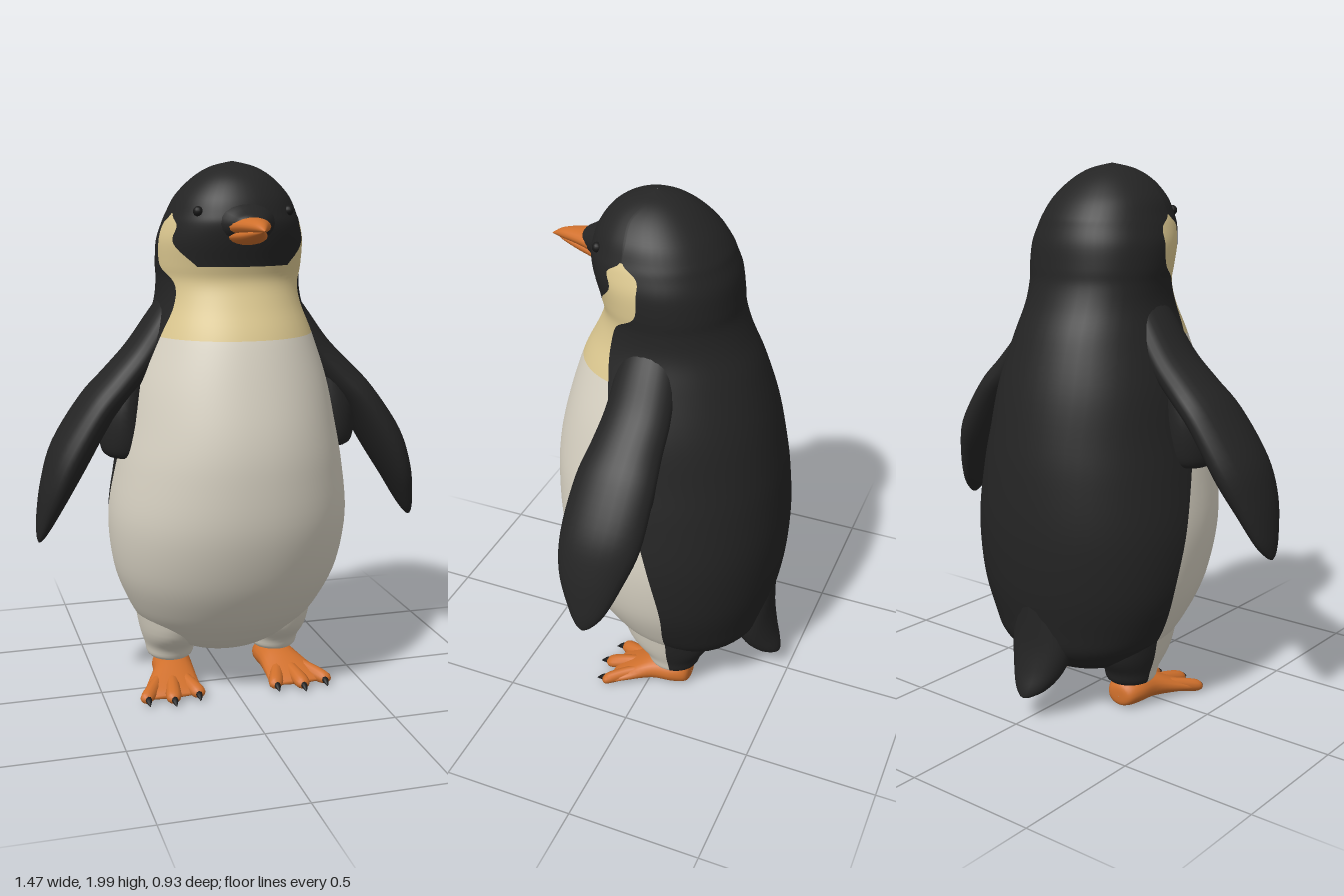
import * as THREE from 'three';

const mat = (name, color) => {
  const m = new THREE.MeshStandardMaterial({ color });
  m.name = name;
  return m;
};

// Catmull-Rom through table rows, every column at once
function smooth(rows, steps) {
  const out = [];
  const at = i => rows[Math.max(0, Math.min(rows.length - 1, i))];
  for (let i = 0; i < rows.length - 1; i++) {
    for (let k = 0; k < steps; k++) {
      const t = k / steps;
      out.push(rows[i].map((p1, c) => {
        const p0 = at(i - 1)[c], p2 = at(i + 1)[c], p3 = at(i + 2)[c];
        return p1 + 0.5 * t * (p2 - p0 + t * (2 * p0 - 5 * p1 + 4 * p2 - p3 + t * (3 * (p1 - p2) + p3 - p0)));
      }));
    }
  }
  out.push(rows[rows.length - 1]);
  return out;
}

// Skin over closed rings of points; pick(i, j) gives the material index of a quad
function skin(name, rings, materials, pick = () => 0, side = 1) {
  const n = rings[0].length;
  const pos = rings.flatMap(r => r.flatMap(p => [p[0] * side, p[1], p[2]]));
  const lists = materials.map(() => []);
  for (let i = 0; i < rings.length - 1; i++) {
    for (let j = 0; j < n; j++) {
      const k = (j + 1) % n;
      const a = i * n + j, b = i * n + k, c = (i + 1) * n + k, d = (i + 1) * n + j;
      lists[pick(i, j)].push(...(side > 0 ? [a, b, c, a, c, d] : [a, c, b, a, d, c]));
    }
  }
  const g = new THREE.BufferGeometry();
  g.setAttribute('position', new THREE.Float32BufferAttribute(pos, 3));
  g.setIndex(lists.flat());
  let start = 0;
  lists.forEach((l, m) => { g.addGroup(start, l.length, m); start += l.length; });
  g.computeVertexNormals();
  const mesh = new THREE.Mesh(g, materials.length > 1 ? materials : materials[0]);
  mesh.name = name;
  return mesh;
}

// Elliptical sweep: stations [x, y, z, radius along A, radius along B], travelling along A x B
function sweep(name, stations, A, B, material, side = 1, n = 20, steps = 5) {
  const rings = smooth(stations, steps).map(([x, y, z, ra, rb]) => Array.from({ length: n }, (_, j) => {
    const t = j / n * Math.PI * 2, a = ra * Math.cos(t), b = rb * Math.sin(t);
    return [x + A[0] * a + B[0] * b, y + A[1] * a + B[1] * b, z + A[2] * a + B[2] * b];
  }));
  return skin(name, rings, [material], undefined, side);
}

const X = [1, 0, 0], Y = [0, 1, 0], Z = [0, 0, 1];
const STEPS = 5, COUNTS = [10, 8, 26, 8, 10];
const SECTION = COUNTS.flatMap((c, s) => Array(c).fill([0, 1, 2, 1, 0][s]));

// Upright skin whose columns follow the colour borders
// rows: [y, half width, z front, z back, z of side border, z of cheek border]
function plumage(name, rows, cx, power, materials, colourOf, side = 1) {
  const table = rows.map(([y, rx, zf, zb, lo, hi]) => {
    const angle = z => {
      const u = Math.max(-0.95, Math.min(0.95, (z - (zf + zb) / 2) / ((zf - zb) / 2)));
      return Math.acos(Math.sign(u) * Math.abs(u) ** (power / 2));
    };
    const aLo = angle(lo);
    return [y, rx, zf, zb, aLo, hi === undefined ? aLo * 0.6 : Math.min(angle(hi), aLo - 0.02)];
  });
  const bend = v => Math.sign(v) * Math.abs(v) ** (2 / power);
  const rings = smooth(table, STEPS).map(([y, rx, zf, zb, lo, hi]) => {
    const edges = [0, hi, lo, 2 * Math.PI - lo, 2 * Math.PI - hi, 2 * Math.PI];
    return COUNTS.flatMap((c, s) => Array.from({ length: c }, (_, k) => {
      const a = edges[s] + (edges[s + 1] - edges[s]) * k / c;
      return [cx + rx * bend(Math.sin(a)), y, (zf + zb) / 2 + (zf - zb) / 2 * bend(Math.cos(a))];
    }));
  });
  return skin(name, rings, materials, (i, j) => colourOf(rows[Math.floor(i / STEPS)][0], SECTION[j]), side);
}

export function createModel() {
  const black = mat('black feathers', 0x242424);
  const white = mat('white feathers', 0xd8d2c3);
  const cream = mat('cream feathers', 0xdcc890);
  const orange = mat('orange skin', 0xd0702c);
  const claw = mat('dark claw', 0x191919);
  const model = new THREE.Group();
  model.name = 'penguin';

  // Body and head in one skin: white belly, cream collar and cheeks, black back and face
  const bodyRows = [
    [0.14, 0.001, -0.1, -0.102, -0.101],
    [0.15, 0.13, 0.03, -0.22, -0.1],
    [0.19, 0.24, 0.1, -0.31, -0.1],
    [0.26, 0.32, 0.18, -0.38, -0.1],
    [0.35, 0.375, 0.26, -0.405, -0.105],
    [0.5, 0.43, 0.35, -0.435, -0.115],
    [0.7, 0.45, 0.415, -0.45, -0.08],
    [0.9, 0.425, 0.43, -0.44, -0.02],
    [1.05, 0.395, 0.42, -0.42, 0.03],
    [1.22, 0.36, 0.38, -0.385, 0.1],
    [1.39, 0.305, 0.325, -0.33, 0.13],
    [1.5, 0.27, 0.27, -0.28, 0.14, 0.21],
    [1.58, 0.262, 0.238, -0.252, 0.12, 0.205],
    [1.64, 0.266, 0.247, -0.245, 0.04, 0.2],
    [1.72, 0.264, 0.272, -0.235, 0.03, 0.14],
    [1.78, 0.248, 0.285, -0.215, 0.035, 0.15],
    [1.82, 0.232, 0.28, -0.198, 0.09, 0.1],
    [1.88, 0.202, 0.258, -0.155, 0.09, 0.1],
    [1.94, 0.145, 0.212, -0.09, 0.09, 0.1],
    [1.98, 0.08, 0.145, -0.02, 0.06, 0.07],
    [2, 0.001, 0.062, 0.06, 0.061, 0.0612],
  ];
  model.add(plumage('body', bodyRows, 0, 2.12, [white, cream, black], (y, s) => {
    if (s === 2 || y >= 1.82) return 2;
    if (y < 1.39) return 0;
    return y < 1.64 || s === 1 ? 1 : 2;
  }));

  // Face tapering into the beak
  model.add(sweep('face', [
    [0, 1.79, 0.15, 0.16, 0.1], [0, 1.79, 0.24, 0.115, 0.08], [0, 1.788, 0.3, 0.072, 0.046],
    [0, 1.788, 0.33, 0.045, 0.028], [0, 1.788, 0.345, 0.001, 0.001]], X, Y, black));
  model.add(sweep('upperBeak', [
    [0, 1.778, 0.27, 0.085, 0.036], [0, 1.783, 0.34, 0.056, 0.029],
    [0, 1.781, 0.42, 0.025, 0.018], [0, 1.772, 0.465, 0.001, 0.001]], X, Y, orange));
  model.add(sweep('lowerBeak', [
    [0, 1.746, 0.27, 0.07, 0.03], [0, 1.753, 0.34, 0.045, 0.023],
    [0, 1.763, 0.41, 0.02, 0.012], [0, 1.768, 0.445, 0.001, 0.001]], X, Y, orange));

  // Short pointed tail
  model.add(sweep('tail', [
    [0, 0.45, -0.34, 0.1, 0.085], [0, 0.3, -0.34, 0.13, 0.085], [0, 0.2, -0.365, 0.11, 0.075],
    [0, 0.13, -0.405, 0.07, 0.055], [0, 0.1, -0.445, 0.025, 0.018], [0, 0.095, -0.45, 0.001, 0.001]], X, Z, black));

  for (const side of [1, -1]) {
    const prefix = side > 0 ? 'left' : 'right';

    const eye = new THREE.Mesh(new THREE.SphereGeometry(0.018, 14, 10), claw);
    eye.name = prefix + 'Eye';
    eye.position.set(side * 0.163, 1.83, 0.212);
    model.add(eye);

    // Flipper hanging out and down from the shoulder, with its armpit fold
    model.add(sweep(prefix + 'Flipper', [
      [0.19, 1.53, 0, 0.05, 0.09], [0.255, 1.42, 0, 0.062, 0.11], [0.33, 1.31, 0, 0.066, 0.12],
      [0.41, 1.22, 0.008, 0.07, 0.13], [0.5, 1.125, 0.015, 0.07, 0.146], [0.605, 0.96, 0.026, 0.075, 0.148],
      [0.665, 0.83, 0.04, 0.058, 0.118], [0.705, 0.715, 0.042, 0.033, 0.068],
      [0.722, 0.66, 0.048, 0.014, 0.028], [0.726, 0.643, 0.05, 0.001, 0.001]], [0.78, 0.62, 0], Z, black, side, 24));
    model.add(sweep(prefix + 'Armpit', [
      [0.37, 1.28, 0.01, 0.05, 0.09], [0.4, 1.12, 0.015, 0.085, 0.11],
      [0.4, 0.99, 0.02, 0.088, 0.1], [0.4, 0.945, 0.02, 0.06, 0.07], [0.4, 0.94, 0.02, 0.001, 0.001]], X, Z, black, side));

    // Leg, white in front and black behind
    model.add(plumage(prefix + 'Leg', [
      [0.095, 0.001, -0.08, -0.082, -0.081], [0.11, 0.08, 0, -0.175, -0.1], [0.16, 0.098, 0.03, -0.2, -0.1],
      [0.24, 0.122, 0.1, -0.24, -0.1], [0.4, 0.15, 0.14, -0.25, -0.105]], 0.212, 2,
    [white, black], (y, s) => (s === 2 ? 1 : 0), side));

    // Webbed foot with three clawed toes
    const foot = new THREE.Group();
    foot.name = prefix + 'Foot';
    foot.add(sweep('sole', [
      [0.205, 0.05, -0.158, 0.001, 0.001], [0.205, 0.055, -0.15, 0.05, 0.04], [0.207, 0.064, -0.1, 0.075, 0.056],
      [0.215, 0.062, -0.02, 0.08, 0.053], [0.235, 0.045, 0.06, 0.1, 0.036],
      [0.248, 0.03, 0.12, 0.112, 0.02], [0.25, 0.025, 0.14, 0.09, 0.008], [0.25, 0.025, 0.143, 0.001, 0.001]], X, Y, orange, side));
    for (const [x, z] of [[0.155, 0.165], [0.255, 0.19], [0.35, 0.165]]) {
      const back = 0.23 + (x - 0.25) * 0.3;
      foot.add(sweep('toe', [
        [back, 0.055, z - 0.17, 0.025, 0.028], [(x + back) / 2, 0.045, z - 0.09, 0.028, 0.028],
        [x, 0.032, z - 0.02, 0.028, 0.023], [x, 0.028, z + 0.005, 0.001, 0.001]], X, Y, orange, side, 12));
      foot.add(sweep('claw', [
        [x, 0.032, z - 0.025, 0.016, 0.016], [x, 0.028, z + 0.005, 0.011, 0.011],
        [x, 0.016, z + 0.027, 0.001, 0.001]], X, Y, claw, side, 8));
    }
    model.add(foot);
  }
  return model;
}
